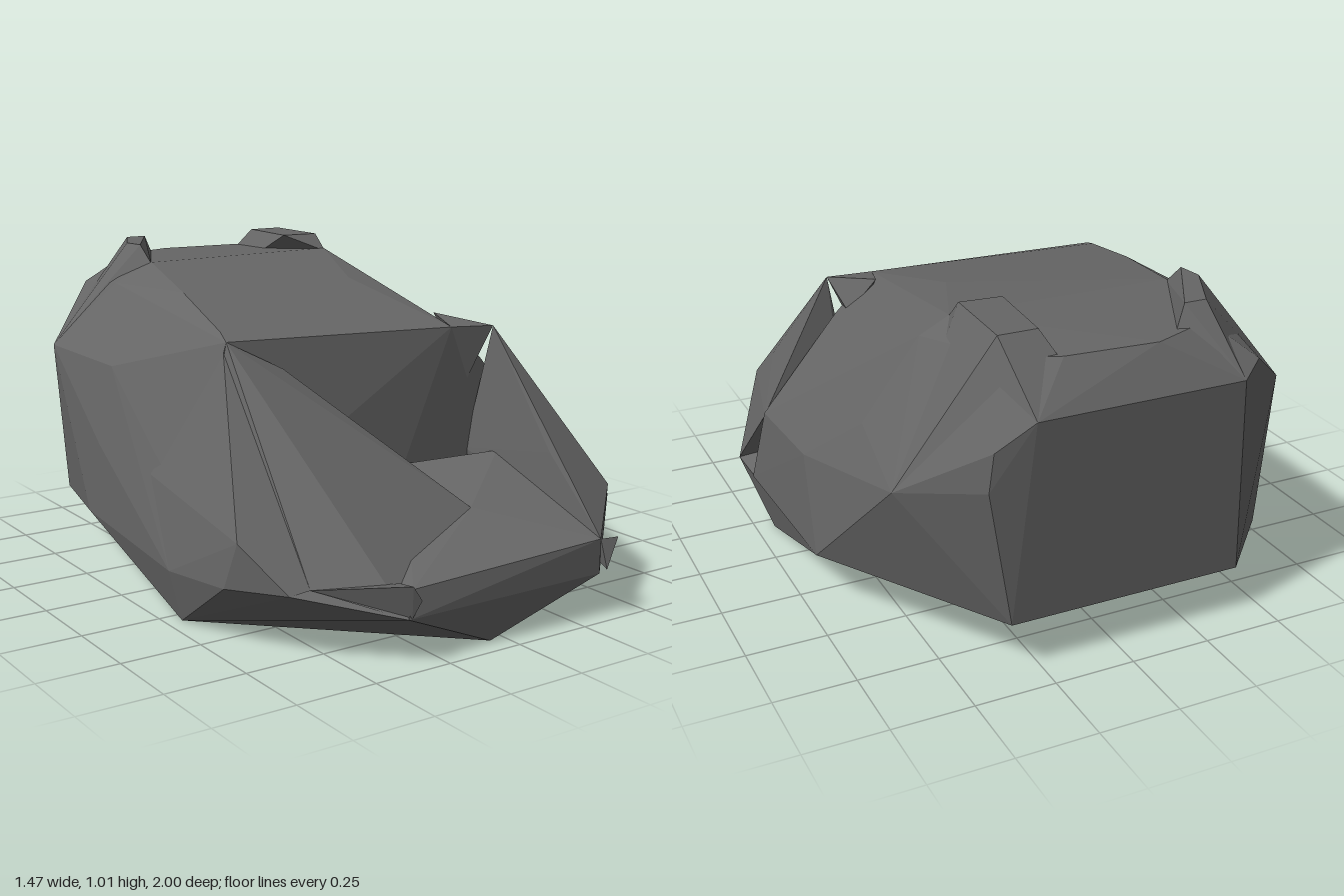
import * as THREE from 'three';
import { ConvexGeometry } from 'three/addons/geometries/ConvexGeometry.js';

const stone = new THREE.MeshStandardMaterial({ color: 0x666666 });
stone.name = 'dark grey stone';

const v = (p) => new THREE.Vector3(...p);

// One faceted chunk of stone spanning the given corners
function chunk(name, corners) {
  const mesh = new THREE.Mesh(new ConvexGeometry(corners.map(v)), stone);
  mesh.name = name;
  return mesh;
}

export function createModel() {
  const group = new THREE.Group();
  group.name = 'boulder';

  // Corners shared by neighbouring chunks
  const browL = [0.41, 0.79, 0.37], browMid = [0.26, 0.795, 0.345], browR = [-0.52, 0.81, 0.27];
  const hollow = [0.09, 0.37, 0.33];
  const ridgeTop = [-0.35, 0.72, 0.31], ridgeTip = [0.06, 0.32, 0.70];
  const chinL = [0.32, 0.25, 0.98], chinR = [-0.35, 0.22, 0.96];
  const cheekR = [-0.57, 0.21, 0.79], cheekLowR = [-0.63, 0.20, 0.78], sideR = [-0.73, 0.19, 0.60];
  const flankL = [0.73, 0.16, 0.44], flankR = [-0.74, 0.16, 0.30];
  const hipL = [0.72, 0.18, -0.34], hipR = [-0.69, 0.18, -0.34];
  const jawL = [0.33, 0.14, 0.97], jawR = [-0.37, 0.14, 0.97];
  const shoulderL = [0.62, 0.55, -0.72], shoulderR = [-0.63, 0.67, -0.72];
  const backTopL = [0.32, 0.82, -1], backTopR = [-0.32, 0.82, -1];

  // Main mass, overhanging at the back
  group.add(chunk('mainBody', [
    browMid, [0.40, 0.68, 0.32], browR, hollow, hipL, hipR, flankR, [0.73, 0.16, 0.28],
    [-0.35, 0.955, -0.52], [0.36, 0.96, -0.53], [0.35, 0.95, -0.85],
    [-0.28, 0.95, -0.85], [-0.08, 0.95, -0.93], [0.20, 0.95, -0.91],
    [-0.43, 0.90, -0.15], [-0.50, 0.83, 0.20], [0.20, 0.905, -0.14],
    [0.44, 0.90, -0.50], [-0.47, 0.89, -0.55],
    shoulderL, [0.60, 0.64, -0.45], [0.70, 0.45, -0.20], [0.70, 0.42, 0.20],
    shoulderR, [-0.64, 0.67, -0.25], [-0.69, 0.42, -0.25], [-0.68, 0.40, 0.20],
    backTopR, backTopL, [0.43, 0.74, -0.97], [0.44, 0.62, -0.96], [-0.40, 0.85, -0.94],
    [0.35, 0.17, -0.92], [-0.39, 0.17, -0.92], [-0.60, 0.17, -0.70],
  ]));

  // Foot of the rock, narrowing toward the back
  group.add(chunk('base', [
    [0.69, 0, 0.20], [0.03, 0, -0.46], [-0.55, 0, -0.03], [-0.70, 0, 0.30], [-0.05, 0, 0.93],
    [0.10, 0.11, -0.46], [-0.27, 0.10, -0.46],
    hipL, hipR, flankL, flankR, sideR, cheekLowR, jawL, jawR, [0.56, 0.30, 0.76],
  ]));

  // Sloping front slab on the right of the hollow
  group.add(chunk('rightFrontSlab', [
    browR, ridgeTop, ridgeTip, hollow, [-0.38, 0.22, 0.88], jawR, cheekR,
    [-0.62, 0.40, 0.28], [-0.55, 0.20, 0.20],
  ]));

  // Bulge running down beside the right slab
  group.add(chunk('rightBulge', [
    [-0.53, 0.78, 0.27], [-0.62, 0.56, 0.41], [-0.715, 0.33, 0.65], [-0.69, 0.40, 0.10],
    sideR, cheekLowR, cheekR, flankR, [-0.50, 0.20, 0.30],
  ]));

  // Cheek on the left of the hollow
  group.add(chunk('leftFrontSlab', [
    browL, chinL, jawL, flankL, [0.55, 0.46, 0.58], [0.56, 0.33, 0.76],
    [0.35, 0.45, 0.72], [0.70, 0.41, 0.20], [0.36, 0.38, 0.30], [0.40, 0.15, 0.20],
  ]));

  // Pointed brow corner hanging over the hollow
  group.add(chunk('leftBrow', [
    browL, browMid, [0.34, 0.62, 0.33], [0.38, 0.70, 0.25], [0.30, 0.82, 0.20],
  ]));

  // Floor of the hollow
  group.add(chunk('hollowFloor', [
    hollow, ridgeTip, chinL, chinR, jawL, jawR,
    [0.37, 0.40, 0.45], [0.30, 0.15, 0.25], [-0.20, 0.15, 0.25],
  ]));

  // Thin ledges along the front
  group.add(chunk('rightFrontLedge', [
    cheekR, [-0.38, 0.245, 1], [-0.35, 0.20, 1], [-0.35, 0.22, 0.90], [-0.36, 0.14, 0.97],
  ]));
  group.add(chunk('leftFrontLedge', [
    chinL, [0.38, 0.25, 0.99], [0.33, 0.16, 1], [0.34, 0.20, 0.90],
  ]));

  // Raised knobs at the back of the top, sloping out to the shoulders
  group.add(chunk('leftTopKnob', [
    [0.22, 1.01, -0.58], [0.35, 1.01, -0.57], [0.36, 1.01, -0.84], [0.24, 1.01, -0.84],
    [0.19, 0.95, -0.68], [0.36, 0.95, -0.52], [0.20, 0.93, -0.91], shoulderL, backTopL,
  ]));
  group.add(chunk('rightTopKnob', [
    [-0.36, 1.01, -0.58], [-0.28, 1.01, -0.84], [-0.21, 1.01, -0.84], [-0.37, 1.01, -0.66],
    [-0.35, 0.95, -0.52], [-0.17, 0.95, -0.87], shoulderR, backTopR,
  ]));
  return group;
}
